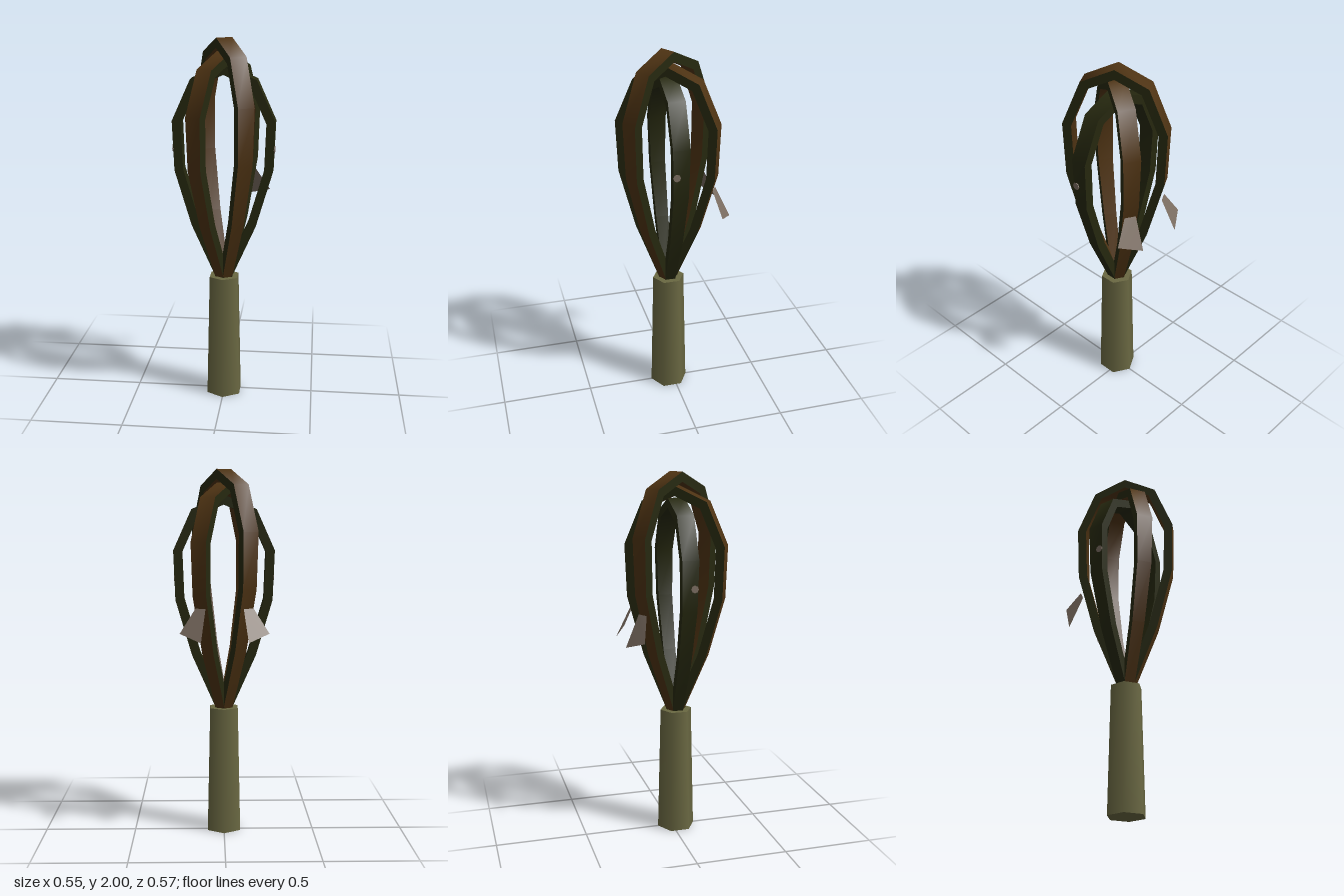
import * as THREE from 'three';

const flat = (name, color, side = THREE.FrontSide) => {
  const m = new THREE.MeshStandardMaterial({ color, side });
  m.name = name;
  return m;
};

const BASE = 0.7; // height where the wires enter the handle
const THICK = 0.047;
// half outline of the tallest loop: radius, height
const PROFILE = [[0.03, 0.66], [0.045, 0.7], [0.175, 1.03], [0.264, 1.37], [0.274, 1.67], [0.175, 1.915]];

// Flat band bent into a loop; groups: 0 = broad faces, 1 = edges
function loopGeometry(scale) {
  const half = PROFILE.map(([r, y]) => new THREE.Vector2(r, y > BASE ? BASE + (y - BASE) * scale : y));
  const apex = new THREE.Vector2(0, BASE + (2 - BASE) * scale);
  const path = [...half, apex, ...half.slice().reverse().map(p => new THREE.Vector2(-p.x, p.y))];
  const normalOf = (a, b) => new THREE.Vector2(b.y - a.y, a.x - b.x).normalize();

  // four corners at each point: outer +z, outer -z, inner -z, inner +z
  const rings = path.map((p, i) => {
    const n1 = normalOf(path[Math.max(i - 1, 0)], path[Math.max(i, 1)]);
    const last = path.length - 1;
    const n2 = normalOf(path[Math.min(i, last - 1)], path[Math.min(i + 1, last)]);
    const n = n1.clone().add(n2).normalize();
    const q = p.clone().addScaledVector(n, -THICK / n.dot(n1));
    if (p.x > 0) q.x = Math.max(q.x, 0.002);
    if (p.x < 0) q.x = Math.min(q.x, -0.002);
    const w = THREE.MathUtils.lerp(0.029, 0.046, THREE.MathUtils.clamp((p.y - BASE) / 0.9, 0, 1));
    return [[p.x, p.y, w], [p.x, p.y, -w], [q.x, q.y, -w], [q.x, q.y, w]];
  });

  const positions = [], index = [];
  const geometry = new THREE.BufferGeometry();
  for (let s = 0; s < 4; s++) {
    const first = positions.length / 3, start = index.length;
    rings.forEach(c => positions.push(...c[s], ...c[(s + 1) % 4]));
    for (let i = 0; i < rings.length - 1; i++) {
      const a = first + i * 2;
      index.push(a, a + 1, a + 3, a, a + 3, a + 2);
    }
    geometry.addGroup(start, index.length - start, s % 2);
  }
  geometry.setAttribute('position', new THREE.Float32BufferAttribute(positions, 3));
  geometry.setIndex(index);
  geometry.computeVertexNormals();
  return geometry;
}

export function createModel() {
  const olive = flat('olive handle', 0x6a6842);
  const green = flat('dark green', 0x26280f);
  const brown = flat('brown', 0x4e3313);
  const grey = flat('warm grey', 0x7c6e62, THREE.DoubleSide);

  const model = new THREE.Group();
  model.name = 'whisk';
  const add = (name, geometry, material) => {
    const mesh = new THREE.Mesh(geometry, material);
    mesh.name = name;
    model.add(mesh);
    return mesh;
  };

  // six-sided tapered handle
  add('handle', new THREE.CylinderGeometry(0.088, 0.105, 0.7, 6), olive).position.set(0, 0.35, 0.024);

  // three nested loops, each turned by 60 degrees
  const loops = [
    ['outerLoop', 1, 60, brown],
    ['middleLoop', 0.945, 120, brown],
    ['innerLoop', 0.895, 0, green],
  ];
  for (const [name, scale, degrees, face] of loops) {
    const loop = add(name, loopGeometry(scale), [face, green]);
    loop.position.z = 0.024;
    loop.rotation.y = -THREE.MathUtils.degToRad(degrees);
  }

  for (const side of [1, -1]) {
    // flared flap on each rear wire
    const corners = [[0.1, 1.27, -0.208], [0.153, 1.27, -0.178], [0.236, 1.14, -0.21], [0.124, 1.1, -0.285]];
    const flap = new THREE.BufferGeometry();
    flap.setAttribute('position', new THREE.Float32BufferAttribute(
      corners.flatMap(([x, y, z]) => [x * side, y, z]), 3));
    flap.setIndex(side > 0 ? [0, 1, 2, 0, 2, 3] : [0, 2, 1, 0, 3, 2]);
    flap.computeVertexNormals();
    add(side > 0 ? 'leftFlap' : 'rightFlap', flap, grey);

    // small stud on each side wire
    const stud = add(side > 0 ? 'leftStud' : 'rightStud', new THREE.CylinderGeometry(0.02, 0.02, 0.009, 8), grey);
    stud.position.set(side * 0.269, 1.42, 0.048);
    stud.rotation.z = Math.PI / 2;
  }
  return model;
}
